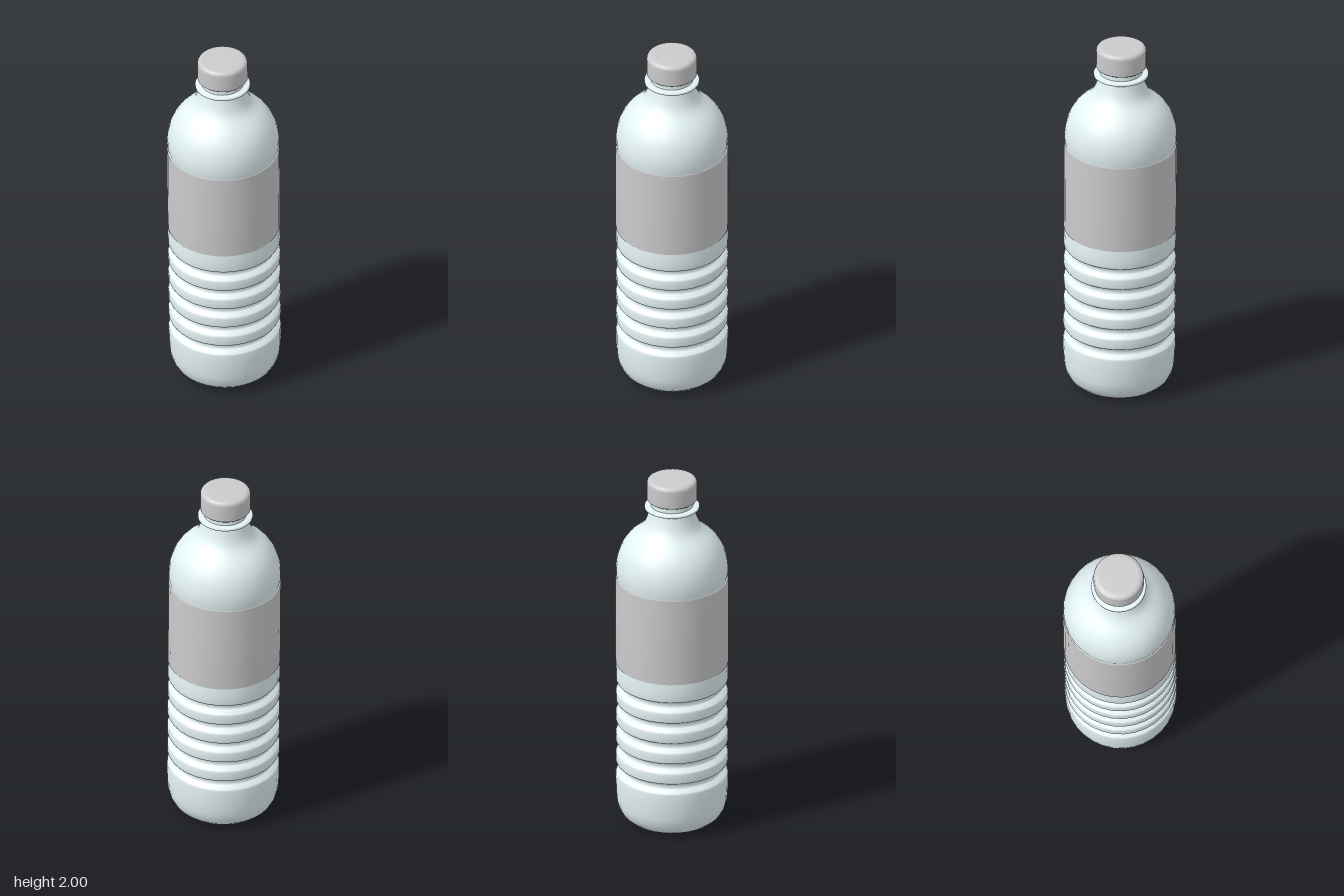
import * as THREE from 'three';

const SIDES = 32;

// Surface of revolution from [radius, height] pairs, with flats facing the axes
function lathe(name, profile, material) {
  const points = profile.map(([r, y]) => new THREE.Vector2(r, y));
  const mesh = new THREE.Mesh(new THREE.LatheGeometry(points, SIDES, Math.PI / SIDES), material);
  mesh.name = name;
  return mesh;
}

export function createModel() {
  const plastic = new THREE.MeshStandardMaterial({ color: 0xe4f2f5, side: THREE.DoubleSide });
  const grey = new THREE.MeshStandardMaterial({ color: 0xcccccc, side: THREE.DoubleSide });
  const bottle = new THREE.Group();
  bottle.name = 'bottle';

  // Rounded base
  const R = 0.297;
  const body = [[0, 0.004], [0.18, 0.004], [0.205, 0.008], [0.235, 0.021], [0.262, 0.045],
    [0.281, 0.08], [0.291, 0.12], [0.295, 0.17], [R, 0.22]];

  // Grip grooves
  for (let i = 0; i < 5; i++) {
    const y = 0.31 + i * 0.12;
    body.push([R, y - 0.039], [0.292, y - 0.028], [0.27, y - 0.015], [0.264, y - 0.008],
      [0.264, y + 0.008], [0.27, y + 0.015], [0.292, y + 0.028], [R, y + 0.039]);
  }

  // Recess behind the label, shoulder and neck
  body.push([R, 0.87], [0.294, 0.92], [0.29, 0.94], [0.29, 1.4], [0.291, 1.425], [0.296, 1.45],
    [0.296, 1.49], [0.291, 1.53], [0.28, 1.57], [0.265, 1.605], [0.244, 1.638], [0.218, 1.667],
    [0.19, 1.691], [0.165, 1.713], [0.147, 1.737], [0.135, 1.765], [0.125, 1.795],
    [0.119, 1.82], [0.113, 1.845], [0.111, 1.87], [0.111, 1.94]);
  bottle.add(lathe('body', body, plastic));

  // Flange under the cap
  bottle.add(lathe('neckRing', [[0.112, 1.828], [0.14, 1.83], [0.146, 1.833], [0.146, 1.842],
    [0.14, 1.845], [0.112, 1.847]], plastic));

  // Wrapped label
  bottle.add(lathe('label', [[0.29, 0.925], [0.2975, 0.926], [0.2975, 1.418], [0.29, 1.419]], grey));

  // Hollow screw cap with a rounded top edge
  bottle.add(lathe('cap', [[0.122, 1.97], [0.122, 1.883], [0.13, 1.88], [0.133, 1.884],
    [0.133, 1.975], [0.131, 1.986], [0.125, 1.994], [0.115, 1.999], [0.1, 2], [0, 2]], grey));

  // The bottle leans very slightly to its right
  bottle.rotation.z = 0.0075;
  bottle.position.x = 0.005;

  const model = new THREE.Group();
  model.add(bottle);
  return model;
}
